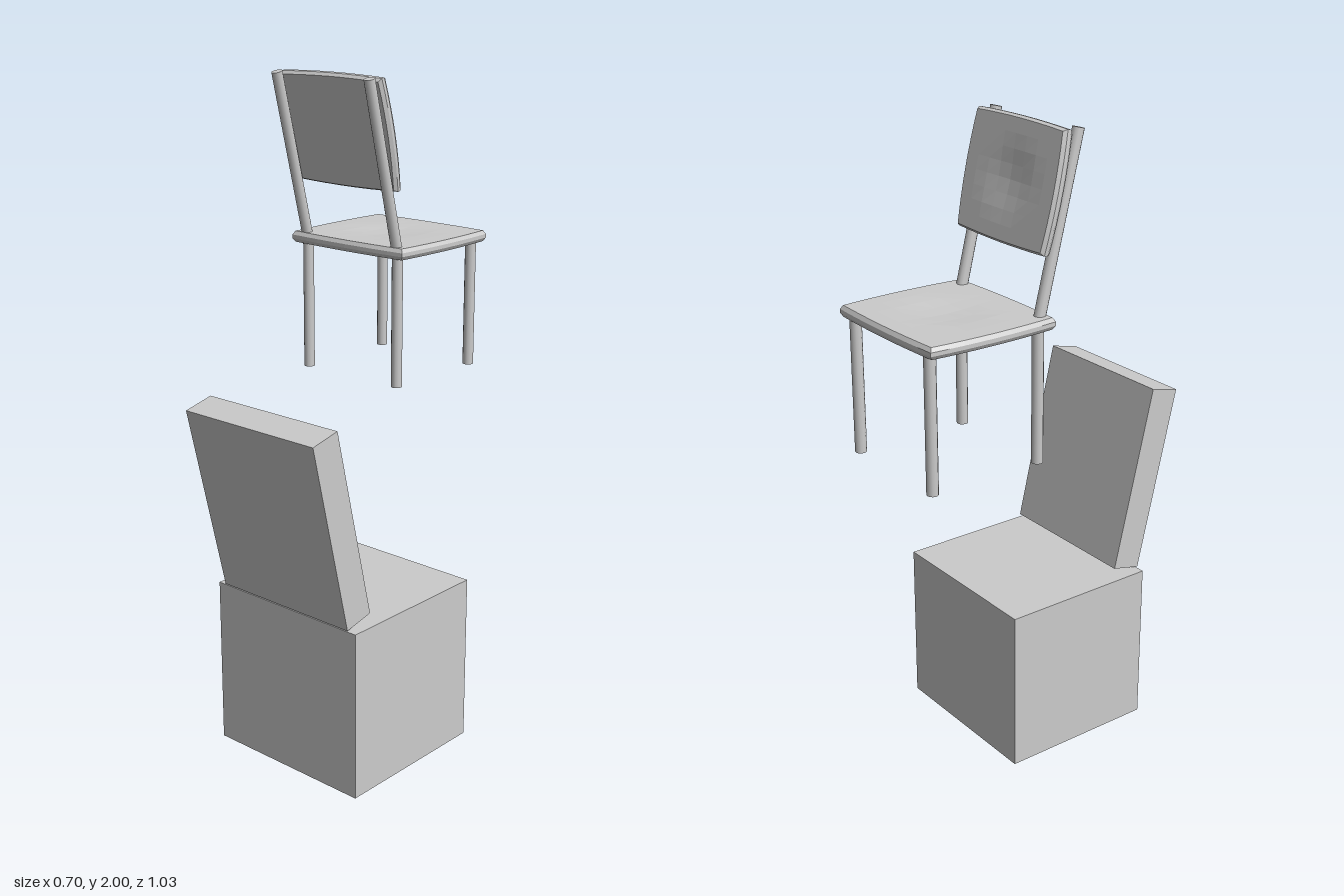
import * as THREE from 'three';

const grey = () => new THREE.MeshStandardMaterial({ color: 0xcccccc });
const flat = () => new THREE.MeshStandardMaterial({ color: 0xcccccc, flatShading: true });

function addMesh(parent, name, geometry, material, x, y, z) {
  const mesh = new THREE.Mesh(geometry, material);
  mesh.name = name;
  mesh.position.set(x, y, z);
  parent.add(mesh);
  return mesh;
}

// Thin panel with bowed sides, bevelled rim and a shallow dish in its +y face
function panelGeometry(w, t, d, bowX, bowZ, dish) {
  const g = new THREE.BoxGeometry(w, t, d, 8, 3, 8);
  const p = g.attributes.position;
  const bevel = 0.007;
  for (let i = 0; i < p.count; i++) {
    const u = p.getX(i) / (w / 2), v = p.getZ(i) / (d / 2), y = p.getY(i);
    const inset = Math.abs(y) > t * 0.4 ? bevel : 0;
    const hw = w / 2 - bowX * v * v - inset;
    const hd = d / 2 - bowZ * u * u - inset;
    const r = Math.min(1, Math.hypot(u, v) / 0.75);
    const dip = y > t * 0.4 ? dish * (0.5 + 0.5 * Math.cos(Math.PI * r)) : 0;
    p.setXYZ(i, u * hw, y - dip, v * hd);
  }
  g.computeVertexNormals();
  return g;
}

// Round bar between two points
function addBar(parent, name, from, to, radius) {
  const a = new THREE.Vector3(...from), b = new THREE.Vector3(...to);
  const dir = b.clone().sub(a);
  const mid = a.clone().add(b).multiplyScalar(0.5);
  const g = new THREE.CylinderGeometry(radius, radius, dir.length(), 12);
  const bar = addMesh(parent, name, g, grey(), mid.x, mid.y, mid.z);
  bar.quaternion.setFromUnitVectors(new THREE.Vector3(0, 1, 0), dir.normalize());
}

export function createModel() {
  const model = new THREE.Group();
  model.name = 'chairs';

  // Block chair: solid base with a leaning slab back
  const block = new THREE.Group();
  block.name = 'blockChair';
  model.add(block);
  addMesh(block, 'blockSeat', new THREE.BoxGeometry(0.546, 0.518, 0.508), grey(), 0.073, 0.259, 0.124);
  addMesh(block, 'blockBack', new THREE.BoxGeometry(0.49, 0.59, 0.098), grey(), 0.073, 0.82, 0.399)
    .rotation.x = 0.23;

  // Slender chair standing above, facing -z
  const chair = new THREE.Group();
  chair.name = 'slenderChair';
  chair.position.x = -0.119;
  model.add(chair);
  addMesh(chair, 'seat', panelGeometry(0.46, 0.034, 0.42, 0.009, 0.007, 0.008), flat(), 0, 1.483, -0.303);

  // Bowed backrest, dished towards the sitter
  addMesh(chair, 'backrest', panelGeometry(0.408, 0.032, 0.345, 0.009, 0.005, 0.008), flat(), 0, 1.829, -0.079)
    .rotation.x = -Math.PI / 2 + 0.225;

  // Legs and leaning back posts
  for (const side of [-1, 1]) {
    const x = side * 0.18;
    addBar(chair, 'frontLeg', [x, 1.07, -0.482], [x, 1.475, -0.482], 0.017);
    addBar(chair, 'backLeg', [x, 1.07, -0.129], [x, 1.475, -0.129], 0.017);
    addBar(chair, 'backPost', [x, 1.48, -0.128], [x, 1.992, 0], 0.017);
  }
  return model;
}
